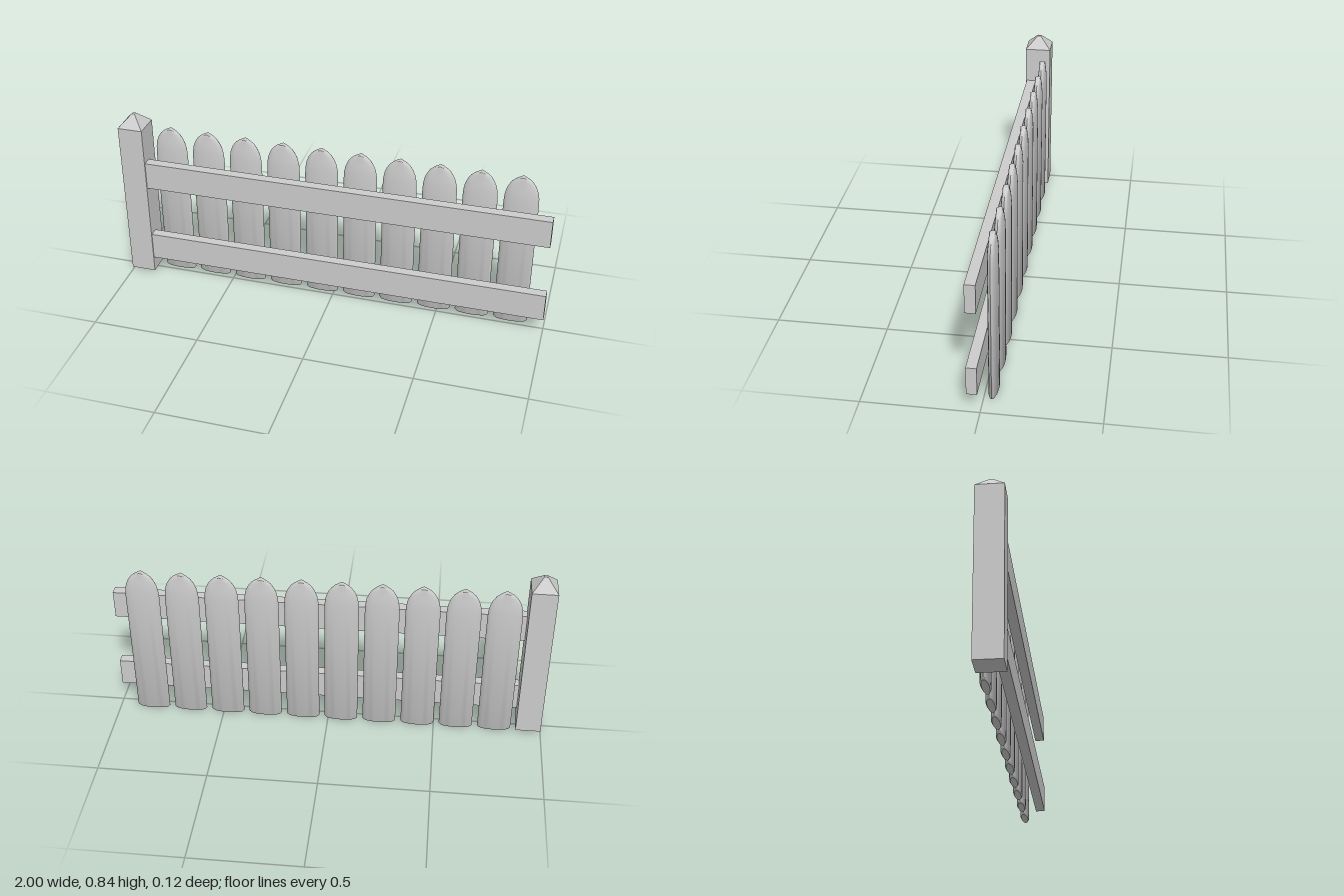
import * as THREE from 'three';
import { toCreasedNormals } from 'three/addons/utils/BufferGeometryUtils.js';

const material = new THREE.MeshStandardMaterial({ color: 0xcccccc });

function addMesh(parent, name, geometry, x, y, z) {
  const mesh = new THREE.Mesh(geometry, material);
  mesh.name = name;
  mesh.position.set(x, y, z);
  parent.add(mesh);
  return mesh;
}

// Rounded board with a lens-shaped section: rows of [height, half width, half depth]
function picketGeometry() {
  const rows = [
    [0, 0, 0.016], [0, 0.07, 0.016], [0.008, 0.0775, 0.021], [0.63, 0.0775, 0.021],
    [0.665, 0.0755, 0.021], [0.695, 0.07, 0.0195], [0.72, 0.06, 0.017],
    [0.74, 0.047, 0.015], [0.755, 0.03, 0.0142], [0.762, 0.016, 0.014],
    [0.765, 0.006, 0.0135], [0.765, 0, 0.0135],
  ];
  const geometry = new THREE.LatheGeometry(rows.map(([y, w]) => new THREE.Vector2(w, y)), 24);
  const pos = geometry.attributes.position;
  // Flatten each ring to its own depth
  for (let i = 0; i < pos.count; i++) {
    const [, w, d] = rows[i % rows.length];
    pos.setZ(i, w > 0 ? (pos.getZ(i) / w) * d : 0);
  }
  return toCreasedNormals(geometry, 0.8);
}

// Square prism or frustum with its sides along the axes
function squareBlock(top, bottom, height) {
  const geometry = new THREE.CylinderGeometry(top * Math.SQRT2, bottom * Math.SQRT2, height, 4);
  geometry.rotateY(Math.PI / 4);
  return toCreasedNormals(geometry, 0.3);
}

export function createModel() {
  const fence = new THREE.Group();
  fence.name = 'fence';

  // End post with a pyramid cap
  const post = new THREE.Group();
  post.name = 'post';
  post.position.set(-0.942, 0, 0);
  post.scale.x = 0.95;
  addMesh(post, 'postShaft', squareBlock(0.061, 0.061, 0.77), 0, 0.4, 0);
  addMesh(post, 'postCap', squareBlock(0.008, 0.061, 0.055), 0, 0.8125, 0);
  fence.add(post);

  // Two horizontal rails in front of the pickets
  for (const [name, y, end] of [['lowerRail', 0.156, 1.0], ['upperRail', 0.548, 0.992]]) {
    const start = -0.89;
    addMesh(fence, name, new THREE.BoxGeometry(end - start, 0.132, 0.045), (start + end) / 2, y, 0.0335);
  }

  // Row of pickets
  const picket = picketGeometry();
  for (let i = 0; i < 10; i++) {
    addMesh(fence, `picket${i + 1}`, picket, -0.783 + i * 0.1805, 0, -0.0345);
  }
  return fence;
}
